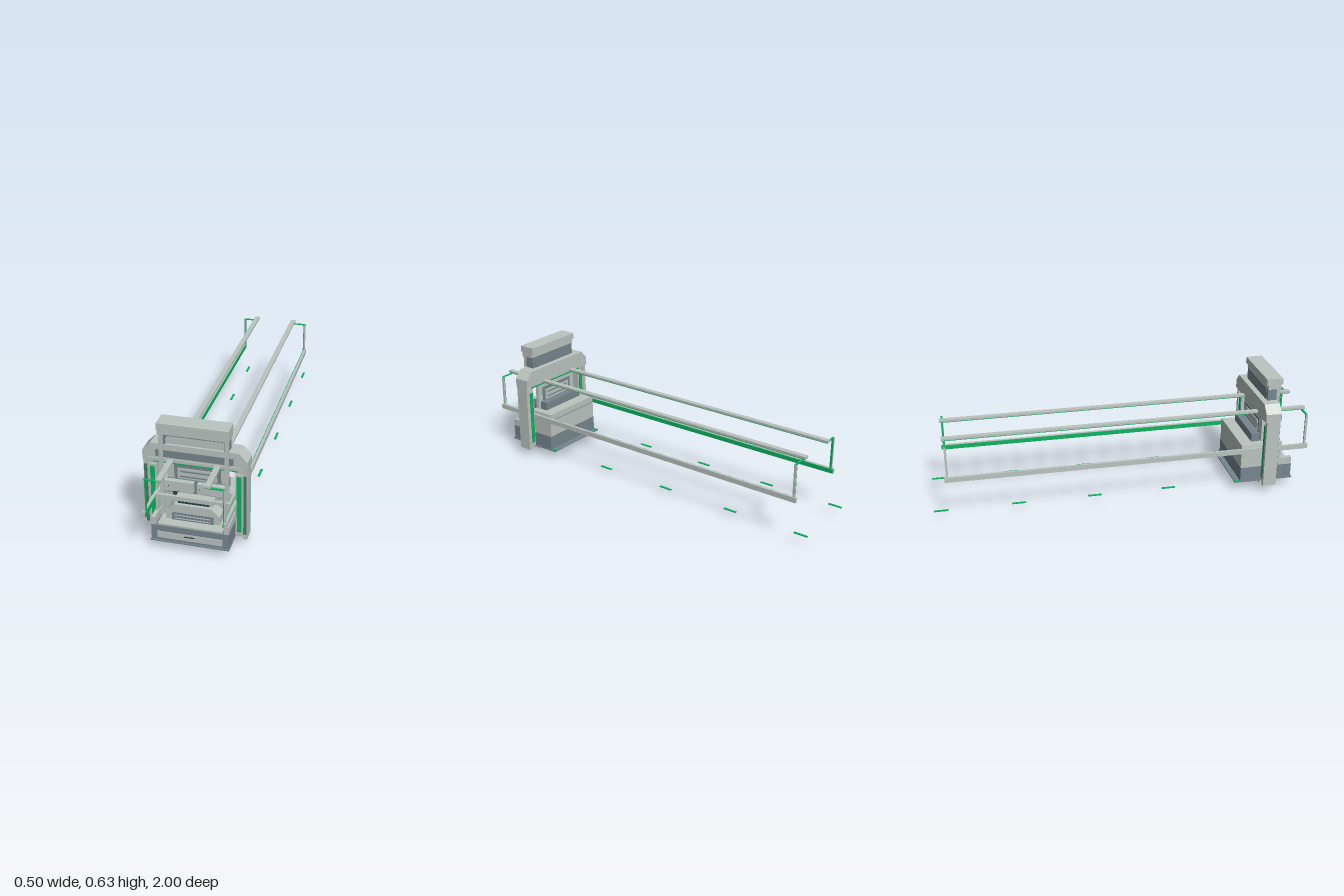
import * as THREE from 'three';

const mat = (name, color, side = THREE.FrontSide) => {
  const m = new THREE.MeshStandardMaterial({ color, side });
  m.name = name;
  return m;
};

export function createModel() {
  const model = new THREE.Group();
  const grey = mat('light grey', 0xbcc4c0);
  const slate = mat('slate', 0x76878f);
  const green = mat('green', 0x0db562);
  const deepGreen = mat('deep green', 0x3f8062);
  const teal = mat('dark teal', 0x23454f);

  const add = (name, geo, m) => {
    const mesh = new THREE.Mesh(geo, m);
    mesh.name = name;
    model.add(mesh);
    return mesh;
  };
  // Box given by its limits on each axis
  const box = (name, m, x0, x1, y0, y1, z0, z1) =>
    add(name, new THREE.BoxGeometry(x1 - x0, y1 - y0, z1 - z0), m)
      .position.set((x0 + x1) / 2, (y0 + y1) / 2, (z0 + z1) / 2);
  // Box centred on x
  const mid = (name, m, w, ...r) => box(name, m, -w, w, ...r);
  // Box mirrored to both sides
  const pair = (name, m, x0, x1, ...r) => {
    box(name + 'Left', m, x0, x1, ...r);
    box(name + 'Right', m, -x1, -x0, ...r);
  };
  // Symmetric outline (half profile, bottom to top) extruded along z
  const slab = (name, m, half, z0, z1) => {
    const pts = [...half, ...half.map(([x, y]) => [-x, y]).reverse()];
    const shape = new THREE.Shape(pts.map(p => new THREE.Vector2(...p)));
    const geo = new THREE.ExtrudeGeometry(shape, { depth: z1 - z0, bevelEnabled: false });
    add(name, geo, m).position.z = z0;
  };

  // Gate: chamfered lintel, outer columns and inner light frames
  slab('gateLintel', grey, [[0.25, 0.416], [0.25, 0.462], [0.21, 0.505]], 0.735, 0.818);
  mid('lintelPanel', slate, 0.185, 0.44, 0.475, 0.816, 0.822);
  mid('lintelLip', grey, 0.22, 0.416, 0.432, 0.815, 0.823);
  pair('gateColumn', grey, 0.227, 0.248, 0.042, 0.416, 0.743, 0.815);
  pair('columnStrip', deepGreen, 0.23, 0.245, 0.07, 0.388, 0.814, 0.817);
  pair('innerColumn', grey, 0.19, 0.227, 0.06, 0.385, 0.75, 0.806);
  pair('innerColumnFoot', grey, 0.185, 0.227, 0.045, 0.062, 0.755, 0.80);
  pair('innerColumnCap', grey, 0.185, 0.227, 0.388, 0.402, 0.755, 0.80);
  for (const [z0, z1] of [[0.805, 0.81], [0.746, 0.751]]) {
    pair('columnLight', green, 0.197, 0.219, 0.073, 0.375, z0, z1);
  }
  mid('lintelLight', green, 0.20, 0.402, 0.42, 0.745, 0.81);

  // Tower and head over the gate
  mid('towerBack', slate, 0.145, 0.505, 0.567, 0.765, 0.785);
  slab('towerFront', grey, [[0.145, 0.505], [0.145, 0.515], [0.125, 0.567]], 0.785, 0.805);
  mid('towerBar', slate, 0.15, 0.548, 0.553, 0.805, 0.812);
  pair('towerPost', grey, 0.147, 0.165, 0.13, 0.567, 0.815, 0.833);
  pair('towerSide', slate, 0.14, 0.163, 0.505, 0.567, 0.767, 0.815);
  mid('headLower', grey, 0.168, 0.567, 0.592, 0.767, 0.837);
  mid('headUpper', grey, 0.17, 0.592, 0.626, 0.757, 0.845);

  // Long rails with end brackets
  pair('upperRail', grey, 0.098, 0.125, 0.42, 0.431, -0.935, 1);
  pair('upperRailUnderside', green, 0.1, 0.123, 0.416, 0.42, -0.933, 0.998);
  pair('lowerRail', grey, 0.184, 0.198, 0.219, 0.245, -0.935, 1);
  pair('lowerRailInside', green, 0.18, 0.184, 0.221, 0.243, -0.933, 0.998);
  for (const z of [0.985, -0.92]) {
    pair('bracketPost', grey, 0.184, 0.192, 0.245, 0.415, z - 0.006, z + 0.006);
    pair('bracketPostInside', green, 0.18, 0.184, 0.245, 0.411, z - 0.005, z + 0.005);
    pair('bracketLink', green, 0.12, 0.19, 0.411, 0.416, z - 0.005, z + 0.005);
  }
  pair('railClamp', grey, 0.165, 0.195, 0.2, 0.22, 0.78, 0.83);

  // Base body
  mid('baseBody', slate, 0.186, 0.05, 0.128, 0.635, 0.92);
  mid('basePlate', slate, 0.19, 0.044, 0.05, 0.605, 0.928);
  mid('basePanel', grey, 0.157, 0.062, 0.097, 0.919, 0.923);
  mid('basePanelSlot', teal, 0.025, 0.082, 0.087, 0.922, 0.925);
  mid('baseTop', grey, 0.155, 0.128, 0.136, 0.78, 0.915);
  pair('armrest', grey, 0.165, 0.186, 0.128, 0.168, 0.76, 0.918);
  slab('rearHousing', grey, [[0.182, 0.128], [0.182, 0.235], [0.178, 0.26]], 0.635, 0.775);
  mid('rearHousingSeam', slate, 0.183, 0.222, 0.225, 0.633, 0.775);
  pair('housingSide', grey, 0.17, 0.18, 0.168, 0.245, 0.775, 0.86);

  // Underside tray and ribs
  mid('undersideTray', grey, 0.155, 0.012, 0.036, 0.755, 0.825);
  mid('undersideMount', grey, 0.145, 0.034, 0.045, 0.71, 0.85);
  pair('undersideClip', grey, 0.13, 0.145, 0.026, 0.045, 0.82, 0.85);
  mid('undersideFoot', slate, 0.13, 0.004, 0.012, 0.76, 0.82);
  for (let i = -4; i <= 4; i++) {
    box('rib', grey, i * 0.026 - 0.006, i * 0.026 + 0.006, 0, 0.005, 0.763, 0.817);
  }

  // Console
  slab('console', grey, [[0.13, 0.136], [0.13, 0.18], [0.09, 0.218]], 0.8, 0.865);
  mid('consoleVent', slate, 0.1, 0.136, 0.175, 0.864, 0.869);
  for (const y of [0.143, 0.16]) mid('consoleVentSlot', grey, 0.088, y, y + 0.005, 0.868, 0.871);
  mid('consoleTop', grey, 0.092, 0.216, 0.238, 0.79, 0.845);
  mid('consoleSlot', teal, 0.075, 0.218, 0.226, 0.844, 0.848);
  box('consoleSidePanel', teal, -0.115, -0.093, 0.218, 0.242, 0.775, 0.8);
  mid('frontBar', grey, 0.178, 0.245, 0.26, 0.848, 0.862);
  pair('frontBarSide', grey, 0.17, 0.18, 0.245, 0.26, 0.77, 0.85);

  // Back wall with vents on both faces and the pair of cabinets
  mid('backWall', grey, 0.147, 0.26, 0.402, 0.752, 0.77);
  for (const [a, d] of [[0.77, 1], [0.752, -1]]) {
    const layer = (name, m, w, y0, y1, n) => {
      const z = a + d * n * 0.004;
      mid(name, m, w, y0, y1, Math.min(z, z + d * 0.004), Math.max(z, z + d * 0.004));
    };
    layer('wallVent', slate, 0.113, 0.27, 0.38, 0);
    layer('wallVentPanel', grey, 0.095, 0.29, 0.363, 1);
    for (const y of [0.318, 0.345]) layer('wallVentSlot', slate, 0.082, y, y + 0.006, 2);
  }
  mid('cabinetBack', slate, 0.145, 0.24, 0.31, 0.78, 0.79);
  box('cabinetLeft', grey, 0.008, 0.142, 0.258, 0.31, 0.79, 0.815);
  box('cabinetRight', grey, -0.145, -0.01, 0.258, 0.31, 0.79, 0.815);
  for (const x of [-0.13, 0.02]) box('cabinetKnob', teal, x - 0.002, x + 0.002, 0.282, 0.286, 0.814, 0.818);
  mid('rearBox', slate, 0.14, 0.26, 0.305, 0.7, 0.744);

  // Floor markers
  for (const z of [0.6, 0.2, -0.2, -0.6, -1]) {
    pair('floorMarker', green, 0.172, 0.184, 0.049, 0.053, z, z + 0.072);
  }
  return model;
}
